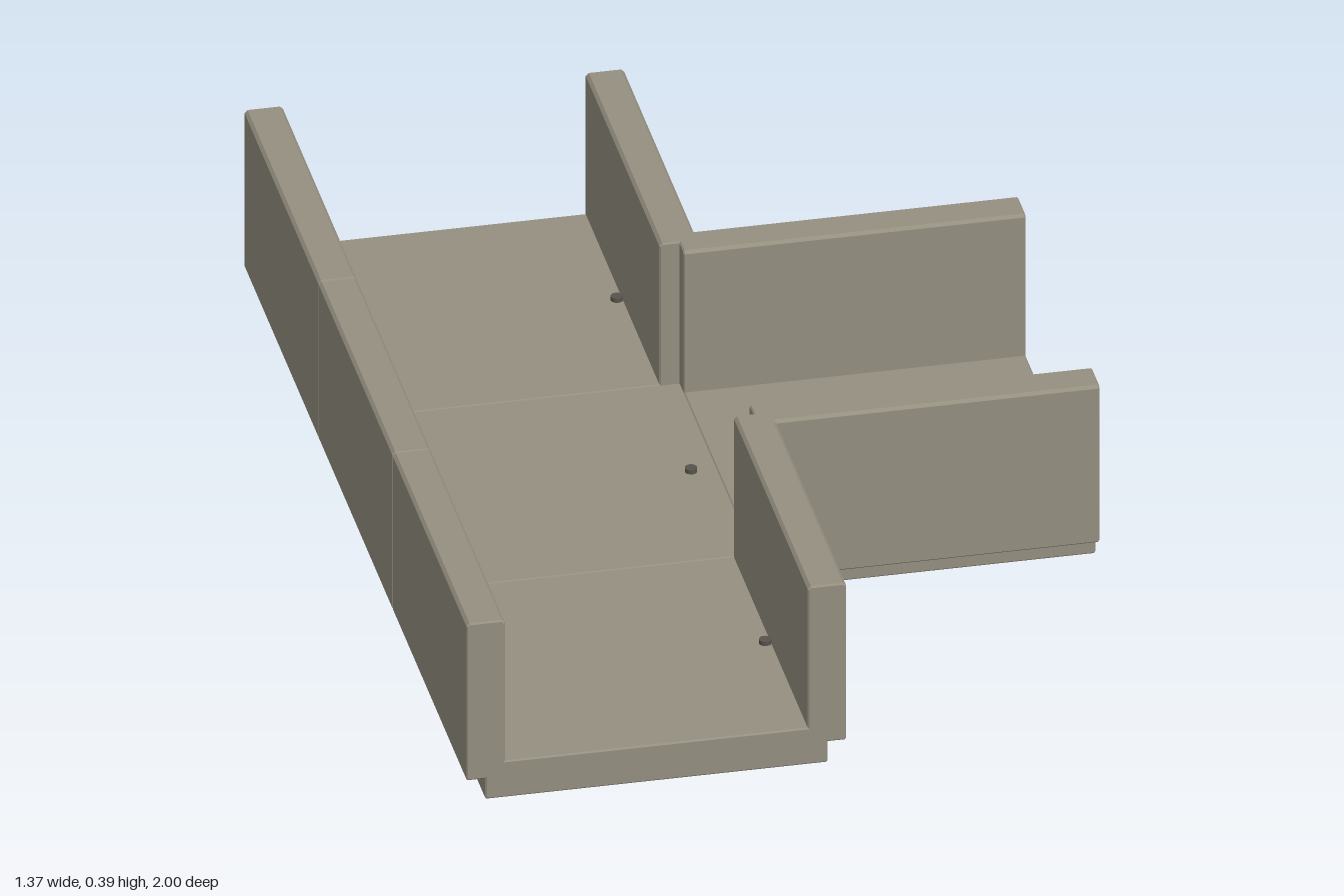
import * as THREE from 'three';

const TILE = 0.667;   // side of one square tile
const BASE = 0.3335;  // half width of the narrow foot
const OUT = 0.37;     // half width over the walls
const IN = 0.295;     // half width between the walls
const STEP = 0.045, FLOOR = 0.08, TOP = 0.39;
const C = 0.006, BEVEL = 0.003;

const stone = new THREE.MeshStandardMaterial({ color: 0x958f80 });
const dark = new THREE.MeshStandardMaterial({ color: 0x55534b });

// Left half of the cross-section: foot, overhang, chamfered wall, floor edge
const wallSide = [
  [-BASE + C / 2, 0], [-BASE, C / 2], [-BASE, STEP], [-OUT + C / 2, STEP], [-OUT, STEP + C / 2],
  [-OUT, TOP - C], [-OUT + C, TOP], [-IN - C, TOP], [-IN, TOP - C], [-IN, FLOOR],
];
const openSide = [[BASE, FLOOR], [BASE, 0]];

function channel(name, bothWalls) {
  const far = bothWalls ? wallSide.map(([x, y]) => [-x, y]).reverse() : openSide;
  const shape = new THREE.Shape([...wallSide, ...far].map(([x, y]) => new THREE.Vector2(x, y)));
  const geometry = new THREE.ExtrudeGeometry(shape, {
    depth: TILE - 2 * BEVEL, bevelEnabled: true, bevelSegments: 1,
    bevelSize: BEVEL, bevelThickness: BEVEL, bevelOffset: -BEVEL,
  });
  geometry.translate(0, 0, -TILE / 2 + BEVEL);
  const mesh = new THREE.Mesh(geometry, stone);
  mesh.name = name;
  return mesh;
}

// One tile with two small studs on its floor
function tile(name, x, z, bothWalls, studAxis = 'x') {
  const group = new THREE.Group();
  group.name = name;
  const body = channel('channel', bothWalls);
  if (studAxis === 'x' && name === 'sideTile') body.rotation.y = Math.PI / 2;
  group.add(body);
  for (const s of [-1, 1]) {
    const stud = new THREE.Mesh(new THREE.CylinderGeometry(0.012, 0.012, 0.012, 16), dark);
    stud.name = 'stud';
    stud.position.set(s * 0.284, FLOOR + 0.003, 0);
    group.add(stud);
  }
  group.position.set(x, 0, z);
  return group;
}

export function createModel() {
  const model = new THREE.Group();
  model.name = 'corridorJunction';
  // Straight run with the junction tile in the middle
  model.add(tile('frontTile', -0.315, TILE, true));
  model.add(tile('junctionTile', -0.315, 0, false));
  model.add(tile('backTile', -0.315, -TILE, true));
  // Branch leaving to the side
  model.add(tile('sideTile', 0.352, 0, true));
  return model;
}
